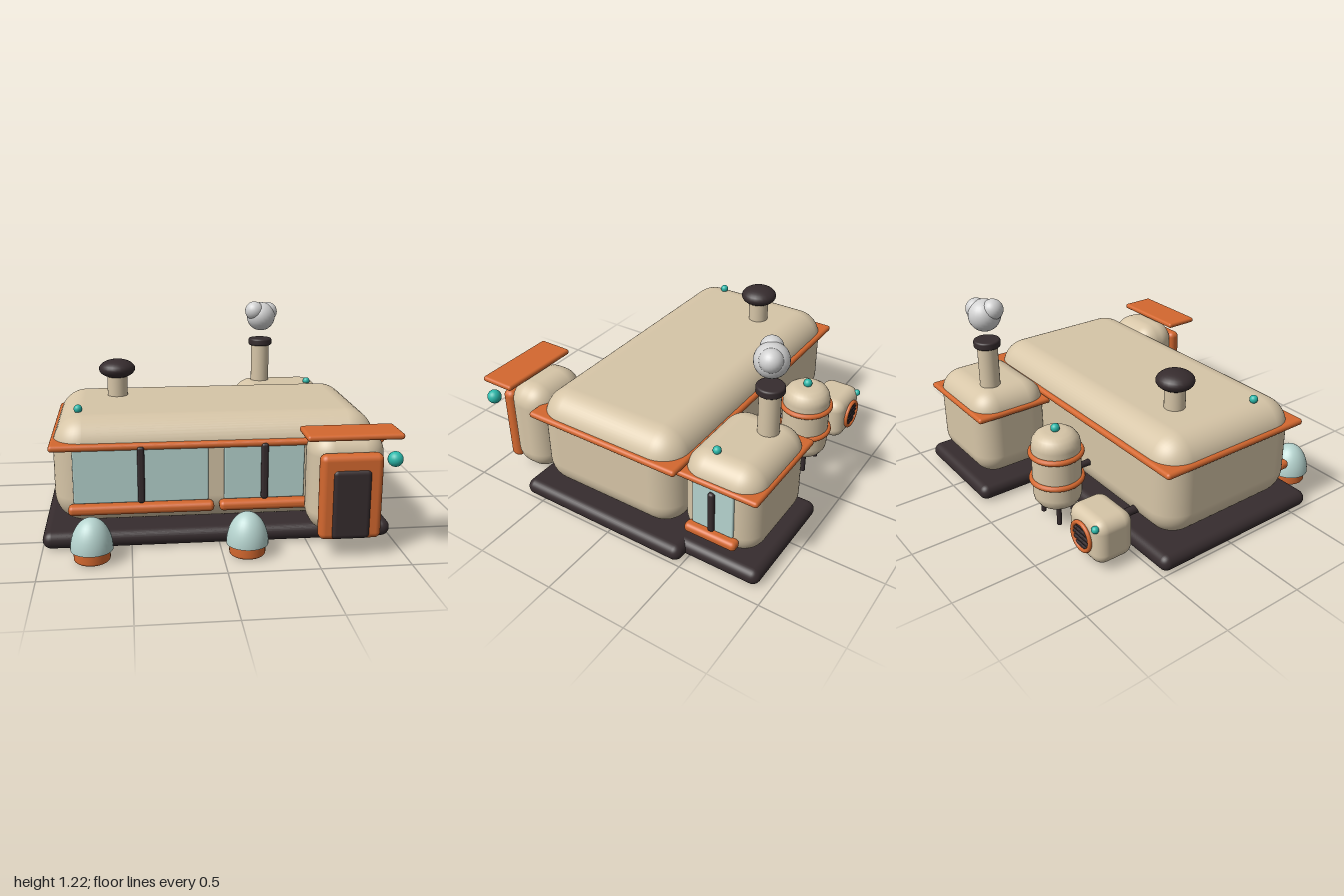
import * as THREE from 'three';
import { RoundedBoxGeometry } from 'three/addons/geometries/RoundedBoxGeometry.js';

const mat = (name, color) => {
  const m = new THREE.MeshStandardMaterial({ color });
  m.name = name;
  return m;
};

export function createModel() {
  const cream = mat('cream', 0xd6c5a7), orange = mat('orange', 0xd4682f), dark = mat('dark', 0x362c2e);
  const glass = mat('glass', 0xb6d4cf), teal = mat('teal', 0x2ab8aa), smoke = mat('smoke', 0xd2d2d2);
  const model = new THREE.Group();
  model.name = 'house';

  const add = (name, geometry, material, x = 0, y = 0, z = 0, parent = model) => {
    const m = new THREE.Mesh(geometry, material);
    m.name = name;
    m.position.set(x, y, z);
    parent.add(m);
    return m;
  };
  // Rounded box given by its limits on each axis
  const box = (name, material, [x0, x1], [y0, y1], [z0, z1], r, seg = 4) => {
    const s = [x1 - x0, y1 - y0, z1 - z0];
    const radius = Math.min(r, Math.min(...s) * 0.499);
    return add(name, new RoundedBoxGeometry(...s, seg, radius), material,
      (x0 + x1) / 2, (y0 + y1) / 2, (z0 + z1) / 2);
  };
  const ball = (name, material, r, x, y, z) =>
    add(name, new THREE.SphereGeometry(r, 24, 16), material, x, y, z);
  const rod = (name, material, r, y0, y1, x, z) =>
    add(name, new THREE.CylinderGeometry(r, r, y1 - y0, 28), material, x, (y0 + y1) / 2, z);
  // Disc with softly rounded rims
  const puck = (name, material, r, y0, y1, x, z, c = 0.012) => {
    const h = y1 - y0, pts = [new THREE.Vector2(0, 0)];
    for (let i = 0; i <= 4; i++) {
      const a = (i / 4) * Math.PI / 2;
      pts.push(new THREE.Vector2(r - c + c * Math.sin(a), c - c * Math.cos(a)));
    }
    for (let i = 0; i <= 4; i++) {
      const a = (i / 4) * Math.PI / 2;
      pts.push(new THREE.Vector2(r - c + c * Math.cos(a), h - c + c * Math.sin(a)));
    }
    pts.push(new THREE.Vector2(0, h));
    return add(name, new THREE.LatheGeometry(pts, 32), material, x, y0, z);
  };

  // Foundation slabs
  box('mainSlab', dark, [-1, 1], [0, 0.1], [-0.49, 0.63], 0.05);
  box('backSlab', dark, [0.2, 0.92], [0.001, 0.099], [-0.94, -0.4], 0.05);

  // Main hall, back room and porch
  box('mainBody', cream, [-0.935, 0.93], [0.1, 0.725], [-0.42, 0.555], 0.17, 6);
  box('mainBand', orange, [-0.95, 0.95], [0.557, 0.596], [-0.44, 0.58], 0.019);
  box('backRoom', cream, [0.25, 0.87], [0.105, 0.665], [-0.89, -0.405], 0.14, 6);
  box('backRoomBand', orange, [0.235, 0.885], [0.52, 0.556], [-0.905, -0.38], 0.017);
  box('porch', cream, [0.48, 0.9], [0.1, 0.68], [0.53, 0.82], 0.125, 6);

  // Front windows with a mullion and sill each
  for (const [x, w] of [[-0.44, 0.76], [0.26, 0.46]]) {
    box('frontGlass', glass, [x - w / 2, x + w / 2], [0.25, 0.565], [0.545, 0.568], 0.008, 2);
    box('frontMullion', dark, [x - 0.02, x + 0.02], [0.25, 0.58], [0.55, 0.592], 0.015);
    box('frontSill', orange, [x - w / 2 - 0.03, x + w / 2 + 0.03], [0.193, 0.25], [0.54, 0.617], 0.025);
  }
  // Side window of the back room
  box('sideGlass', glass, [0.86, 0.883], [0.25, 0.53], [-0.765, -0.51], 0.008, 2);
  box('sideMullion', dark, [0.865, 0.905], [0.25, 0.51], [-0.655, -0.617], 0.015);
  box('sideSill', orange, [0.855, 0.925], [0.193, 0.25], [-0.8, -0.477], 0.025);

  // Door, awning and lamp
  box('doorFrame', orange, [0.513, 0.86], [0.105, 0.588], [0.8, 0.882], 0.035);
  box('door', dark, [0.575, 0.795], [0.11, 0.51], [0.83, 0.893], 0.03);
  box('awning', orange, [0.422, 0.945], [0.682, 0.716], [0.71, 0.93], 0.016);
  ball('doorLamp', teal, 0.042, 0.908, 0.567, 0.895);

  // Chimney with smoke
  rod('chimney', cream, 0.062, 0.6, 0.93, 0.435, -0.715);
  puck('chimneyCap', dark, 0.081, 0.915, 0.963, 0.435, -0.715);
  ball('smokePuff', smoke, 0.098, 0.438, 1.115, -0.715);
  ball('smokePuff', smoke, 0.064, 0.387, 1.158, -0.685);
  ball('smokePuff', smoke, 0.065, 0.49, 1.145, -0.738);

  // Roof vent
  rod('ventStem', cream, 0.062, 0.68, 0.87, -0.565, -0.08);
  ball('ventCap', dark, 0.112, -0.565, 0.892, -0.08).scale.y = 0.52;

  // Roof knobs
  ball('roofKnob', teal, 0.025, -0.79, 0.74, 0.32);
  ball('roofKnob', teal, 0.024, 0.745, 0.675, -0.58);

  // Glass domes in the front yard
  const dome = [];
  for (let i = 0; i <= 12; i++) {
    const a = (i / 12) * Math.PI / 2;
    dome.push(new THREE.Vector2(0.117 * Math.cos(a), 0.178 * Math.sin(a)));
  }
  dome.unshift(new THREE.Vector2(0, 0), new THREE.Vector2(0.116, 0));
  for (const x of [-0.717, 0.135]) {
    puck('domeBase', orange, 0.1, 0.005, 0.085, x, 0.77, 0.015);
    add('dome', new THREE.LatheGeometry(dome, 32), glass, x, 0.07, 0.77);
  }

  // Water tank on three legs
  const tx = -0.19, tz = -0.645;
  puck('tank', cream, 0.145, 0.11, 0.595, tx, tz, 0.085);
  for (const y of [0.29, 0.46])
    add('tankHoop', new THREE.TorusGeometry(0.148, 0.017, 12, 40), orange, tx, y, tz).rotation.x = Math.PI / 2;
  for (const deg of [90, 210, 330]) {
    const a = deg * Math.PI / 180;
    rod('tankLeg', dark, 0.015, 0.02, 0.2, tx + 0.1 * Math.cos(a), tz + 0.1 * Math.sin(a));
  }
  ball('tankKnob', teal, 0.027, tx, 0.61, tz);

  // Cooling unit with a slatted round grille
  const ux = -0.628, uy = 0.175;
  box('coolingUnit', cream, [-0.785, -0.47], [0.035, 0.315], [-0.77, -0.52], 0.07);
  add('grilleRing', new THREE.TorusGeometry(0.083, 0.013, 12, 36), orange, ux, uy, -0.777);
  for (let i = -2; i <= 2; i++) {
    const y = i * 0.03, half = Math.sqrt(0.083 ** 2 - y * y);
    box('grilleSlat', dark, [ux - half, ux + half], [uy + y - 0.009, uy + y + 0.009], [-0.781, -0.765], 0.004, 2);
  }
  ball('unitKnob', teal, 0.022, -0.74, 0.275, -0.76);

  // Pipes into the back wall
  for (const [x, y, r] of [[ux, 0.2, 0.025], [tx, 0.3, 0.02]]) {
    const pipe = rod('wallPipe', dark, r, 0, 0.16, x, -0.47);
    pipe.position.y = y;
    pipe.rotation.x = Math.PI / 2;
  }
  return model;
}
